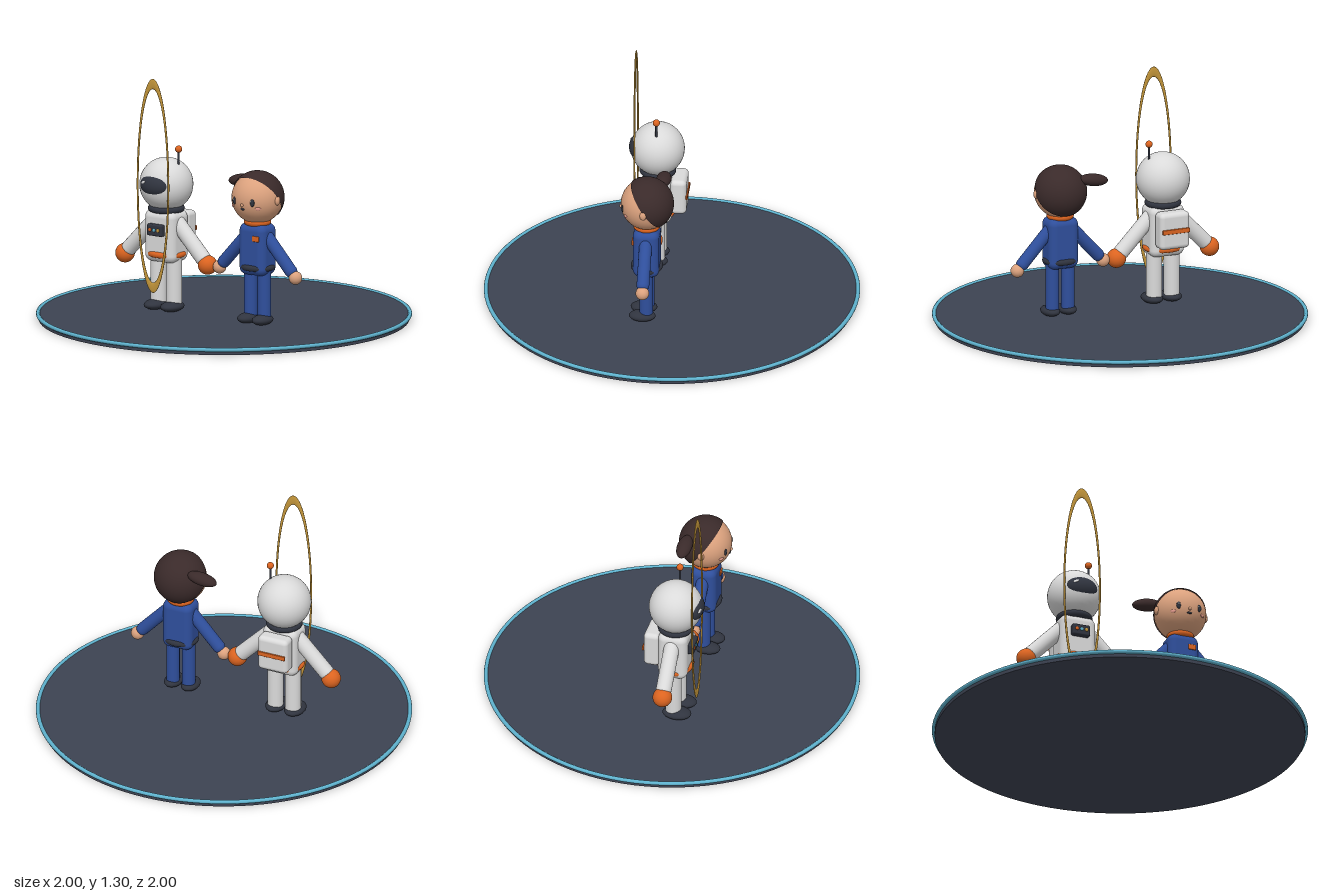
import * as THREE from 'three';
import { RoundedBoxGeometry } from 'three/addons/geometries/RoundedBoxGeometry.js';

const mat = (name, color) => {
  const m = new THREE.MeshStandardMaterial({ color });
  m.name = name;
  return m;
};

export function createModel() {
  const white = mat('suit white', 0xdadada);
  const blue = mat('flight suit blue', 0x2f4f9c);
  const orange = mat('orange', 0xdc6420);
  const dark = mat('dark slate', 0x30343f);
  const floor = mat('platform grey', 0x3d4352);
  const cyan = mat('rim cyan', 0x5fb3cf);
  const gold = mat('gold', 0xc4963a);
  const skin = mat('skin', 0xdca27e);
  const hair = mat('hair brown', 0x3a2a2a);
  const blush = mat('blush', 0xe39a8c);

  const root = new THREE.Group();

  const add = (parent, name, geo, material, x = 0, y = 0, z = 0) => {
    const mesh = new THREE.Mesh(geo, material);
    mesh.name = name;
    mesh.position.set(x, y, z);
    parent.add(mesh);
    return mesh;
  };
  const ball = (parent, name, material, p, rx, ry = rx, rz = rx) => {
    const mesh = add(parent, name, new THREE.SphereGeometry(1, 36, 24), material, ...p);
    mesh.scale.set(rx, ry, rz);
    return mesh;
  };
  const box = (parent, name, material, p, w, h, d, r) =>
    add(parent, name, new RoundedBoxGeometry(w, h, d, 4, r), material, ...p);
  // Horizontal ring, squashed along z by depth
  const band = (parent, name, material, y, r, tube, depth = 1) => {
    const mesh = add(parent, name, new THREE.TorusGeometry(r, tube, 14, 48), material, 0, y, 0);
    mesh.rotation.x = Math.PI / 2;
    mesh.scale.y = depth;
    return mesh;
  };
  // Capsule between two points
  const limb = (parent, name, material, a, b, r) => {
    const p = new THREE.Vector3(...a), q = new THREE.Vector3(...b);
    const dir = q.clone().sub(p);
    const mesh = add(parent, name, new THREE.CapsuleGeometry(r, dir.length(), 8, 20), material);
    mesh.position.copy(p).add(q).multiplyScalar(0.5);
    mesh.quaternion.setFromUnitVectors(new THREE.Vector3(0, 1, 0), dir.normalize());
    return mesh;
  };

  // Body shared by both figures
  const figure = (name, x, o) => {
    const g = new THREE.Group();
    g.name = name;
    g.position.set(x, 0, 0.105);
    root.add(g);
    box(g, 'torso', o.suit, [0, 0.44, 0], o.width, 0.28, o.depth, 0.04);
    band(g, 'belt', o.belt, 0.343, o.width / 2 - 0.004, 0.016, o.depth / o.width + 0.06);
    band(g, 'collar', o.collar, 0.586, o.collarR, 0.018);
    add(g, 'neck', new THREE.CylinderGeometry(o.collarR, o.collarR, 0.03, 28), o.collar, 0, 0.585, 0);
    for (const s of [-1, 1]) {
      add(g, 'leg', new THREE.CylinderGeometry(o.legR, o.legR, 0.28, 24), o.suit, s * o.legX, 0.2, 0);
      ball(g, 'shoe', dark, [s * (o.legX + 0.003), 0.062, 0.02], o.legR + 0.012, 0.028, o.legR + 0.035);
      limb(g, 'arm', o.suit, [s * (o.width / 2 - 0.02), 0.51, 0], [s * (o.handX - 0.03), 0.342, 0], o.armR);
      ball(g, 'hand', o.hand, [s * o.handX, 0.31, 0], o.handR);
    }
    return g;
  };

  // Round platform with a bright rim
  add(root, 'platform', new THREE.CylinderGeometry(0.985, 0.985, 0.032, 96), floor, 0, 0.021, 0);
  const rim = add(root, 'platformRim', new THREE.TorusGeometry(0.989, 0.011, 10, 96), cyan, 0, 0.034, 0);
  rim.rotation.x = Math.PI / 2;

  // Tall narrow hoop
  const hoop = add(root, 'hoop', new THREE.TorusGeometry(0.552, 0.028, 16, 96), gold, -0.306, 0.723, 0.221);
  hoop.scale.set(0.185, 1, 0.18);

  // Astronaut
  const astro = figure('astronaut', -0.305, {
    suit: white, belt: orange, collar: dark, hand: orange, width: 0.2, depth: 0.16,
    collarR: 0.08, legR: 0.043, legX: 0.052, armR: 0.042, handX: 0.275, handR: 0.052,
  });
  ball(astro, 'helmet', white, [0, 0.716, 0], 0.144);
  ball(astro, 'visor', dark, [0, 0.724, 0.095], 0.092, 0.065, 0.058);
  const glint = ball(astro, 'visorGlint', white, [-0.045, 0.742, 0.143], 0.016, 0.008, 0.004);
  glint.rotation.set(-0.4, -0.4, 0.2);
  add(astro, 'antennaRod', new THREE.CylinderGeometry(0.006, 0.006, 0.1, 12), dark, 0.082, 0.86, 0);
  ball(astro, 'antennaTip', orange, [0.082, 0.914, 0], 0.019);
  box(astro, 'chestPanel', dark, [0, 0.48, 0.09], 0.098, 0.062, 0.04, 0.008);
  [orange, cyan, gold].forEach((m, i) =>
    ball(astro, 'panelButton', m, [(i - 1) * 0.027, 0.482, 0.11], 0.01, 0.01, 0.005));
  box(astro, 'backpack', white, [0, 0.462, -0.115], 0.175, 0.2, 0.088, 0.025);
  box(astro, 'backpackStripe', orange, [0, 0.463, -0.161], 0.16, 0.026, 0.01, 0.004);

  // Companion in the blue flight suit
  const girl = figure('companion', 0.303, {
    suit: blue, belt: dark, collar: orange, hand: skin, width: 0.172, depth: 0.14,
    collarR: 0.055, legR: 0.036, legX: 0.046, armR: 0.034, handX: 0.253, handR: 0.036,
  });
  ball(girl, 'head', skin, [0, 0.716, 0], 0.139);
  const cap = add(girl, 'hairCap',
    new THREE.SphereGeometry(0.144, 48, 24, 0, Math.PI * 2, 0, Math.PI * 0.5), hair, 0, 0.717, 0);
  cap.rotation.x = -0.95;
  cap.material.side = THREE.DoubleSide;
  const tail = ball(girl, 'ponytail', hair, [-0.16, 0.78, -0.075], 0.085, 0.033, 0.04);
  tail.rotation.z = 0.14;
  box(girl, 'chestBadge', orange, [0.04, 0.505, 0.07], 0.044, 0.03, 0.012, 0.005);
  ball(girl, 'mouth', dark, [0, 0.673, 0.132], 0.014, 0.006, 0.004);
  ball(girl, 'nose', skin, [0, 0.695, 0.138], 0.009);
  for (const s of [-1, 1]) {
    ball(girl, 'ear', skin, [s * 0.138, 0.715, 0.008], 0.014, 0.024, 0.018);
    ball(girl, 'eye', dark, [s * 0.057, 0.712, 0.123], 0.014, 0.021, 0.008);
    ball(girl, 'eyeGlint', white, [s * 0.057 - 0.004, 0.719, 0.13], 0.004, 0.005, 0.003);
    const cheek = ball(girl, 'cheek', blush, [s * 0.083, 0.68, 0.106], 0.016, 0.009, 0.004);
    cheek.rotation.y = s * 0.65;
  }
  return root;
}
